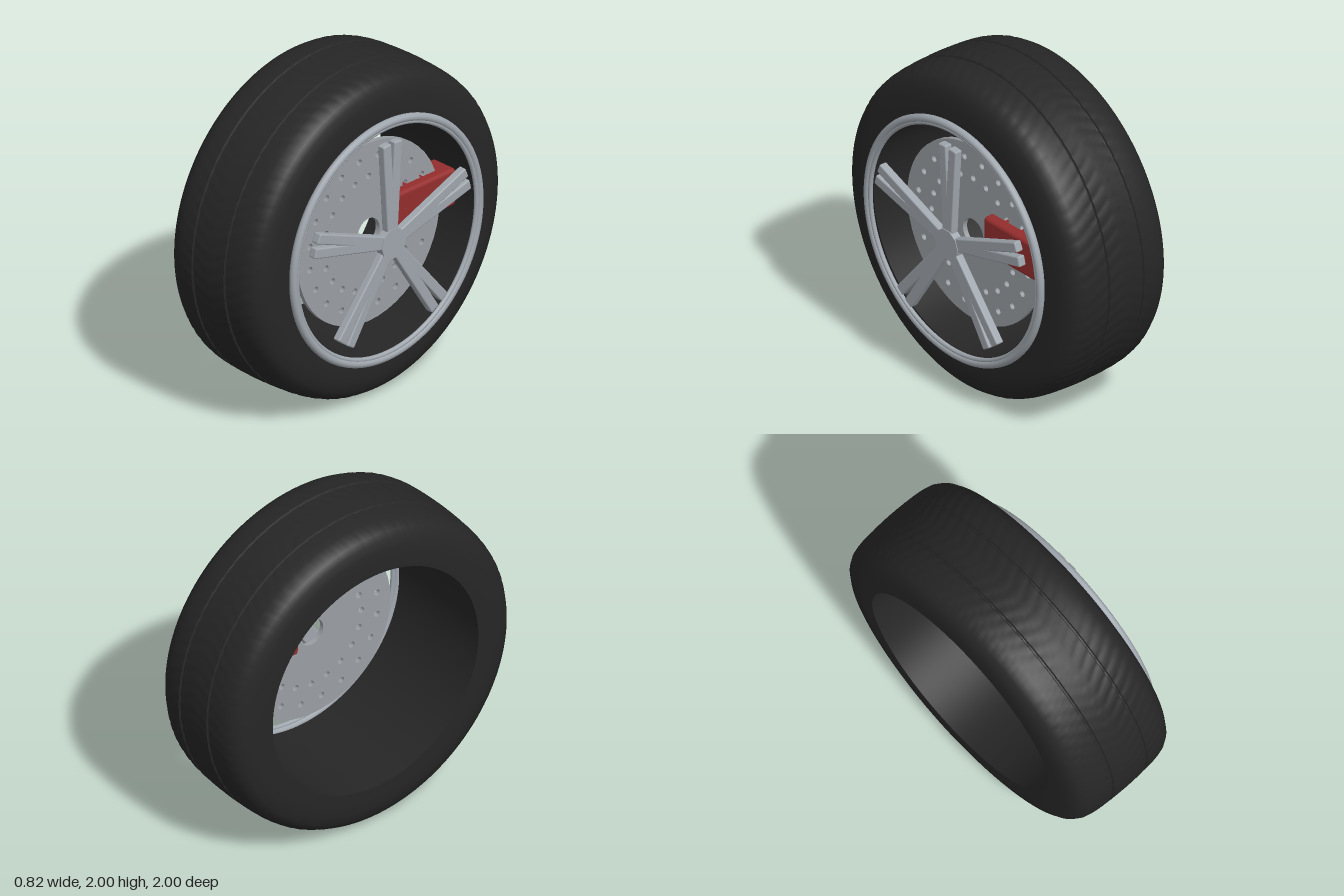
import * as THREE from 'three';
import { toCreasedNormals } from 'three/addons/utils/BufferGeometryUtils.js';
import { RoundedBoxGeometry } from 'three/addons/geometries/RoundedBoxGeometry.js';

const flat = (name, color) => {
  const m = new THREE.MeshStandardMaterial({ color });
  m.name = name;
  return m;
};

export function createModel() {
  const rubber = flat('black rubber', 0x262626);
  const alloy = flat('silver alloy', 0x9fa6ad);
  const steel = flat('brake steel', 0x9a9fa4);
  const red = flat('caliper red', 0x942d2d);

  // The wheel is built facing +z around its own centre, then turned to face +x
  const wheel = new THREE.Group();
  wheel.name = 'wheel';
  const add = (name, geometry, material, parent = wheel) => {
    const mesh = new THREE.Mesh(geometry, material);
    mesh.name = name;
    parent.add(mesh);
    return mesh;
  };

  // Tyre: half section as [distance from tyre middle, radius], mirrored and closed
  const half = [
    [0.3625, 0.718], [0.3625, 0.8], [0.356, 0.86], [0.342, 0.915], [0.318, 0.95],
    [0.28, 0.974], [0.24, 0.985], [0.2, 0.991], [0.165, 0.994], [0.137, 0.996],
    [0.132, 0.986], [0.122, 0.986], [0.117, 0.997], [0.09, 0.998], [0.06, 0.999], [0.03, 1],
  ];
  const middle = -0.0475;
  const section = [
    ...half.map(([d, r]) => [-d, r]), [0, 1], ...half.slice().reverse(), [-half[0][0], half[0][1]],
  ].map(([d, r]) => new THREE.Vector2(r, d + middle));
  const tyre = new THREE.LatheGeometry(section, 432);

  // Shallow chevron tread pressed into the running surface
  const p = tyre.attributes.position;
  for (let i = 0; i < p.count; i++) {
    const x = p.getX(i), z = p.getZ(i), d = Math.abs(p.getY(i) - middle);
    if (d > 0.3 || Math.hypot(x, z) < 0.96) continue;
    const wave = Math.sin(72 * Math.atan2(x, z) + d * 45);
    const k = 1 - 0.003 * Math.max(0, wave) * Math.min(1, d / 0.03);
    p.setX(i, x * k);
    p.setZ(i, z * k);
  }
  tyre.rotateX(Math.PI / 2);
  add('tyre', toCreasedNormals(tyre, 0.6), rubber);

  // Rim: rounded outer lip with a finer ring inside it
  add('rimLip', new THREE.TorusGeometry(0.727, 0.024, 12, 128), alloy).position.z = 0.35;
  add('rimInnerRing', new THREE.TorusGeometry(0.703, 0.014, 10, 128), alloy).position.z = 0.352;

  // Drilled brake disc
  const discShape = new THREE.Shape().absarc(0, 0, 0.555, 0, Math.PI * 2);
  const drill = (x, y, r) => discShape.holes.push(new THREE.Path().absarc(x, y, r, 0, Math.PI * 2, true));
  drill(0, 0, 0.085);
  for (let i = 0; i < 20; i++) {
    const a = (i * Math.PI) / 10;
    drill(0.35 * Math.sin(a), 0.35 * Math.cos(a), 0.019);
    const b = a + Math.PI / 20;
    drill(0.465 * Math.sin(b), 0.465 * Math.cos(b), 0.019);
  }
  const disc = new THREE.ExtrudeGeometry(discShape, { depth: 0.03, bevelEnabled: false, curveSegments: 24 });
  add('brakeDisc', disc, steel).position.z = 0.18;

  // Brake caliper straddling the disc
  add('brakeCaliper', new RoundedBoxGeometry(0.48, 0.232, 0.18, 3, 0.024), red)
    .position.set(0.39, 0.079, 0.18);

  // Hub cap
  const hub = new THREE.CylinderGeometry(0.095, 0.095, 0.05, 10);
  hub.rotateY(Math.PI / 10).rotateX(Math.PI / 2);
  add('hub', toCreasedNormals(hub, 0.5), alloy).position.z = 0.385;

  // Five pairs of spokes, each pair opening slightly towards the rim
  const spoke = new RoundedBoxGeometry(0.062, 0.56, 0.05, 2, 0.009);
  for (let i = 0; i < 5; i++) {
    const pair = new THREE.Group();
    pair.name = 'spokePair';
    pair.rotation.z = (i * Math.PI * 2) / 5;
    for (const side of [-1, 1]) {
      const mesh = add('spoke', spoke, alloy, pair);
      mesh.position.set(side * 0.026, 0.344, 0.38);
      mesh.rotation.z = -side * 0.063;
    }
    wheel.add(pair);
  }

  wheel.rotation.y = Math.PI / 2;
  wheel.position.y = 1;
  const model = new THREE.Group();
  model.name = 'carWheel';
  model.add(wheel);
  return model;
}
